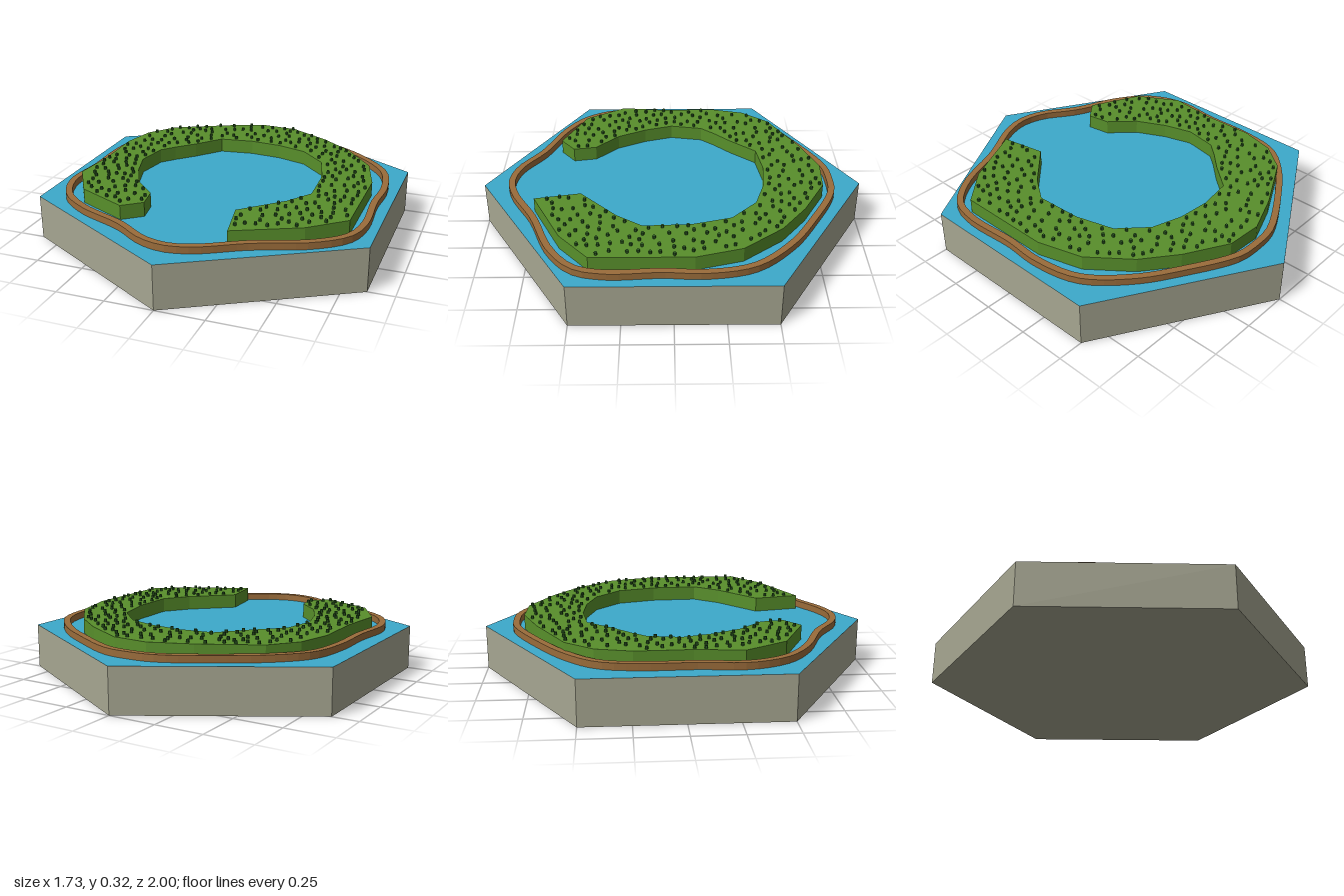
import * as THREE from 'three';
import { mergeGeometries } from 'three/addons/utils/BufferGeometryUtils.js';

const WATER_Y = 0.23;
const ISLAND_TOP = 0.305;

const material = (color) => new THREE.MeshStandardMaterial({ color, flatShading: true });

const toPoints = (flat) => {
  const points = [];
  for (let i = 0; i < flat.length; i += 2) points.push(new THREE.Vector2(flat[i], -flat[i + 1]));
  return points;
};

// Ground outlines, as x, z pairs
const islandOutline = toPoints([
  0.245, 0.705, 0.57, 0.55, 0.745, 0.40, 0.745, -0.10, 0.68, -0.33, 0.52, -0.53,
  0.35, -0.66, 0.13, -0.78, -0.06, -0.79, -0.27, -0.71, -0.56, -0.56, -0.67, -0.42,
  -0.715, -0.24, -0.71, 0.04, -0.735, 0.28, -0.61, 0.49, -0.345, 0.615, -0.25, 0.54,
  -0.27, 0.42, -0.39, 0.30, -0.465, 0.15, -0.51, 0, -0.48, -0.17, -0.42, -0.24,
  -0.33, -0.33, -0.22, -0.46, -0.04, -0.485, 0.13, -0.47, 0.29, -0.42, 0.425, -0.29,
  0.48, -0.09, 0.49, 0.15, 0.40, 0.28, 0.20, 0.47,
]);
const wallPath = toPoints([
  0, 0.85, 0.13, 0.82, 0.35, 0.70, 0.62, 0.59, 0.76, 0.47, 0.80, 0.32, 0.79, 0.05,
  0.80, -0.15, 0.75, -0.38, 0.58, -0.57, 0.38, -0.70, 0.13, -0.825, 0, -0.835,
  -0.13, -0.82, -0.40, -0.68, -0.60, -0.54, -0.72, -0.40, -0.76, -0.20, -0.76, 0.05,
  -0.775, 0.30, -0.70, 0.48, -0.55, 0.60, -0.30, 0.71, -0.13, 0.82,
]);

// Extrudes a ground outline upwards from the water
function slab(shape, height) {
  const geometry = new THREE.ExtrudeGeometry(shape, { depth: height, bevelEnabled: false });
  return geometry.rotateX(-Math.PI / 2).translate(0, WATER_Y, 0);
}

// Closed band of constant width following a smooth loop
function bandShape(path, width, samples) {
  const curve = new THREE.CatmullRomCurve3(path.map((p) => new THREE.Vector3(p.x, p.y, 0)), true);
  const outer = [], inner = [];
  for (let i = 0; i < samples; i++) {
    const p = curve.getPointAt(i / samples);
    const t = curve.getTangentAt(i / samples);
    const dx = t.y * width / 2, dy = -t.x * width / 2;
    outer.push(new THREE.Vector2(p.x + dx, p.y + dy));
    inner.push(new THREE.Vector2(p.x - dx, p.y - dy));
  }
  const shape = new THREE.Shape(outer);
  shape.holes.push(new THREE.Path(inner));
  return shape;
}

// Inside the outline and at least a margin away from its edges
function insideOutline(p, outline, margin) {
  let inside = false;
  for (let i = 0, j = outline.length - 1; i < outline.length; j = i++) {
    const a = outline[i], b = outline[j];
    if ((a.y > p.y) !== (b.y > p.y) && p.x < ((b.x - a.x) * (p.y - a.y)) / (b.y - a.y) + a.x) inside = !inside;
    const ab = b.clone().sub(a);
    const t = THREE.MathUtils.clamp(p.clone().sub(a).dot(ab) / ab.lengthSq(), 0, 1);
    if (a.clone().addScaledVector(ab, t).distanceTo(p) < margin) return false;
  }
  return inside;
}

// Evenly scattered spots with a minimum spacing
function scatter(outline, spacing, tries) {
  let seed = 7;
  const random = () => (seed = (seed * 16807) % 2147483647) / 2147483647;
  const spots = [];
  for (let i = 0; i < tries; i++) {
    const p = new THREE.Vector2(random() * 1.6 - 0.8, random() * 1.6 - 0.8);
    if (insideOutline(p, outline, 0.015) && spots.every((s) => s.distanceTo(p) > spacing)) spots.push(p);
  }
  return spots;
}

export function createModel() {
  const model = new THREE.Group();
  const add = (name, geometry, mat) => {
    const mesh = new THREE.Mesh(geometry, mat);
    mesh.name = name;
    model.add(mesh);
  };

  // Hexagonal stone tile with a water top
  const stone = material(0xa6a691);
  add('hexBase', new THREE.CylinderGeometry(1, 1, WATER_Y, 6).translate(0, WATER_Y / 2, 0),
    [stone, material(0x3caacb), stone]);

  // Low winding wall around the shore
  add('boundaryWall', slab(bandShape(wallPath, 0.034, 96), 0.035), material(0x9a6c3a));

  // Horseshoe island
  add('island', slab(new THREE.Shape(islandOutline), ISLAND_TOP - WATER_Y), material(0x588f2b));

  // Small shrubs over the island
  const shrubs = scatter(islandOutline, 0.044, 4000).map((p) =>
    new THREE.CylinderGeometry(0.008, 0.008, 0.015, 6).translate(p.x, ISLAND_TOP + 0.0075, -p.y));
  add('shrubs', mergeGeometries(shrubs), material(0x2b5a22));

  return model;
}
